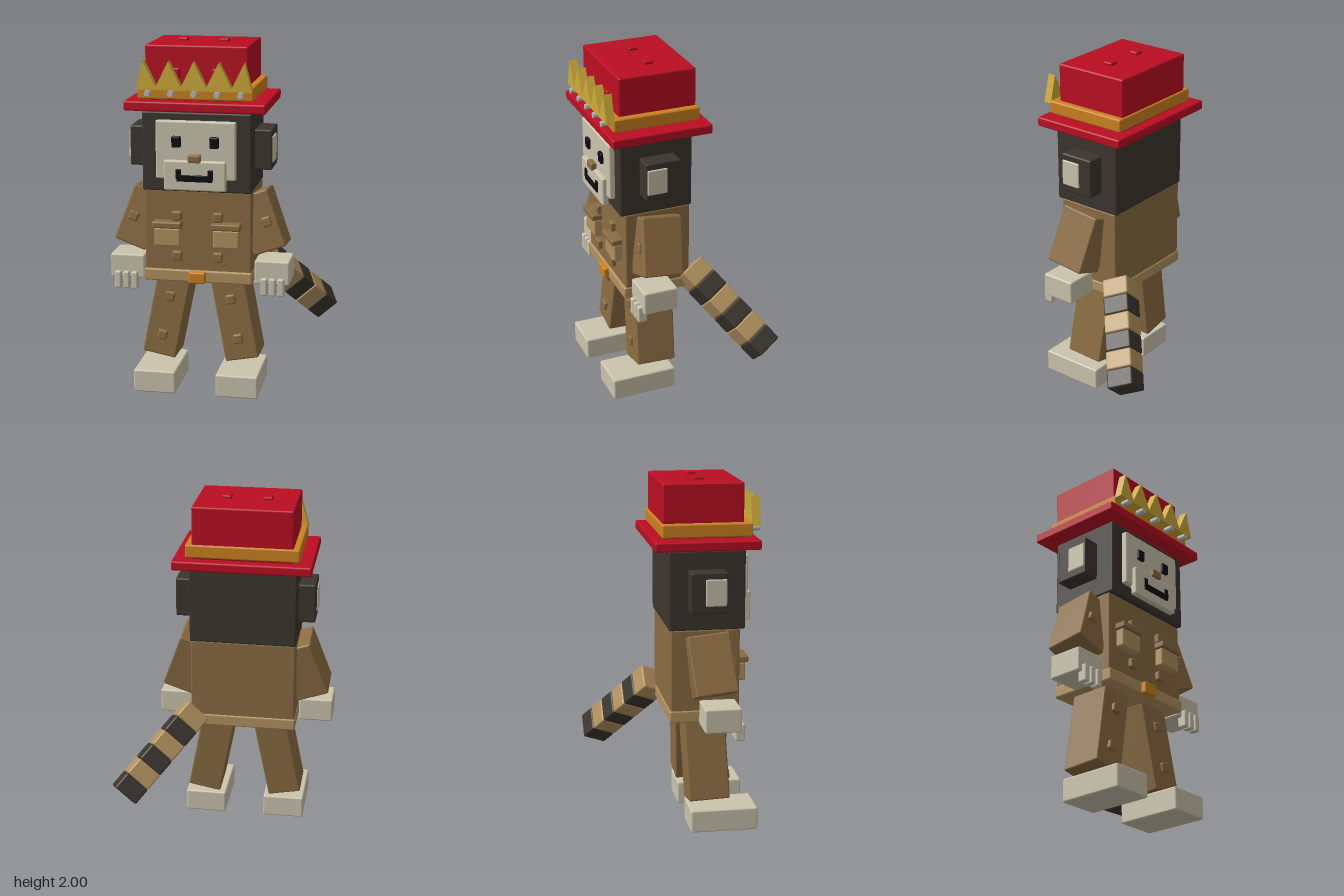
import * as THREE from 'three';
import { RoundedBoxGeometry } from 'three/addons/geometries/RoundedBoxGeometry.js';

const colours = {
  red: 0xbb0e22, brown: 0x8b6c42, tan: 0xb2925f, fur: 0x3b352e, cream: 0xcbc5ae,
  orange: 0xcc8220, gold: 0xcfab3a, black: 0x0c0c0e, silver: 0xb9bdba,
};
const CX = -0.11; // mirror plane of the body

export function createModel() {
  const model = new THREE.Group();
  const mats = {};
  for (const [name, color] of Object.entries(colours)) {
    mats[name] = new THREE.MeshStandardMaterial({ color });
    mats[name].name = name;
  }

  // Softly bevelled box of size w, h, d centred at x, y, z
  function block(name, mat, w, h, d, x, y, z, parent = model) {
    const r = Math.min(0.01, Math.min(w, h, d) * 0.25);
    const mesh = new THREE.Mesh(new RoundedBoxGeometry(w, h, d, 2, r), mats[mat]);
    mesh.name = name;
    mesh.position.set(x, y, z);
    parent.add(mesh);
    return mesh;
  }
  // Box given by half width around the mirror plane, y range and z range
  const mid = (name, mat, half, y0, y1, z0, z1) =>
    block(name, mat, half * 2, y1 - y0, z1 - z0, CX, (y0 + y1) / 2, (z0 + z1) / 2);
  const stud = (name, mat, x, y, z, parent) => block(name, mat, 0.056, 0.056, 0.04, x, y, z, parent);

  // Torso and belt
  mid('torso', 'brown', 0.304, 0.65, 1.175, -0.045, 0.345);
  mid('belt', 'tan', 0.309, 0.643, 0.713, -0.051, 0.358);
  mid('buckle', 'orange', 0.048, 0.643, 0.71, 0.34, 0.388);

  // Head and face
  mid('head', 'fur', 0.307, 1.172, 1.617, -0.055, 0.372);
  mid('facePlate', 'cream', 0.224, 1.248, 1.574, 0.36, 0.404);
  mid('muzzle', 'cream', 0.174, 1.19, 1.358, 0.39, 0.43);
  mid('nose', 'brown', 0.036, 1.35, 1.395, 0.41, 0.446);
  mid('mouth', 'black', 0.1, 1.243, 1.28, 0.425, 0.438);

  // Hat
  mid('hatBrim', 'red', 0.393, 1.628, 1.682, -0.143, 0.44);
  mid('hatNeck', 'red', 0.28, 1.6, 1.72, -0.07, 0.36);
  mid('hatBand', 'orange', 0.322, 1.69, 1.766, -0.095, 0.407);
  mid('hatCrown', 'red', 0.285, 1.68, 1.983, -0.085, 0.364);

  // Golden zigzag on the hat with a gem under each point
  const zigzag = new THREE.Shape();
  const pitch = 0.139;
  zigzag.moveTo(-0.32, 1.748);
  for (let i = 0; i < 5; i++) {
    const x = (i - 2) * pitch;
    zigzag.lineTo(x, 1.905);
    if (i < 4) zigzag.lineTo(x + pitch / 2, 1.765);
    const gem = new THREE.Mesh(new THREE.CylinderGeometry(0.017, 0.017, 0.055, 8), mats.silver);
    gem.name = 'gem';
    gem.rotation.x = Math.PI / 2;
    gem.position.set(CX + (i - 2) * 0.128, 1.73, 0.43);
    model.add(gem);
  }
  zigzag.lineTo(0.32, 1.748);
  zigzag.closePath();
  const spikes = new THREE.Mesh(
    new THREE.ExtrudeGeometry(zigzag, { depth: 0.048, bevelEnabled: false }), mats.gold);
  spikes.name = 'hatSpikes';
  spikes.position.set(CX, 0, 0.4);
  model.add(spikes);

  // Everything that comes in a left and right version
  for (const s of [1, -1]) {
    const side = s > 0 ? 'left' : 'right';
    const X = (x) => CX + s * x;

    block(side + 'Ear', 'fur', 0.13, 0.228, 0.206, X(0.339), 1.4, 0.153);
    block(side + 'InnerEar', 'cream', 0.03, 0.15, 0.118, X(0.397), 1.402, 0.19);
    block(side + 'Eye', 'black', 0.052, 0.064, 0.035, X(0.106), 1.46, 0.403);
    block(side + 'MouthCorner', 'black', 0.03, 0.055, 0.013, X(0.09), 1.284, 0.4315);

    // Studs on the hat and jacket, and the pockets
    block('hatTopStud', 'red', 0.056, 0.035, 0.056, X(0.116), 1.983, 0.133);
    stud('hatFrontStud', 'red', X(0.116), 1.834, 0.363);
    stud('upperJacketStud', 'brown', X(0.116), 1.027, 0.352);
    stud('lowerJacketStud', 'brown', X(0.116), 0.796, 0.352);
    block(side + 'Pocket', 'tan', 0.148, 0.105, 0.06, X(0.167), 0.91, 0.362);
    block(side + 'PocketFlap', 'brown', 0.165, 0.038, 0.075, X(0.167), 0.981, 0.37);

    // Arm
    const arm = new THREE.Group();
    arm.name = side + 'Arm';
    arm.position.set(X(0.346), 0.98, 0.173);
    arm.rotation.set(-0.11, 0, s * 0.35);
    block('sleeve', 'brown', 0.19, 0.338, 0.238, 0, 0, 0, arm);
    stud('sleeveStud', 'brown', s * 0.035, -0.005, 0.116, arm);
    model.add(arm);

    // Hand and fingers
    block(side + 'Hand', 'cream', 0.198, 0.138, 0.204, X(0.416), 0.708, 0.215);
    for (let i = 0; i < 3; i++) {
      block(side + 'Finger', 'cream', 0.037, 0.1, 0.056, X(0.469 - i * 0.048), 0.63, 0.315);
    }

    // Leg and foot
    const leg = new THREE.Group();
    leg.name = side + 'Leg';
    leg.position.set(X(0.193), 0.44, 0.165);
    leg.rotation.set(-0.04, 0, s * 0.19);
    block('trouser', 'brown', 0.195, 0.55, 0.235, 0, 0, 0, leg);
    stud('upperTrouserStud', 'brown', 0, 0.088, 0.116, leg);
    stud('lowerTrouserStud', 'brown', 0, -0.148, 0.116, leg);
    model.add(leg);
    block(side + 'Foot', 'cream', 0.242, 0.132, 0.386, X(0.237), 0.066, 0.258);
  }

  // Striped tail slanting down, back and to the left
  const axis = new THREE.Vector3(0.575, -0.64, -0.51).normalize();
  const u = new THREE.Vector3(-axis.y, axis.x, 0).normalize();
  const v = new THREE.Vector3().crossVectors(axis, u);
  const tail = new THREE.Group();
  tail.name = 'tail';
  tail.quaternion.setFromRotationMatrix(new THREE.Matrix4().makeBasis(u, v, axis));
  tail.position.set(0.535, 0.324, -0.387);
  const step = 0.109;
  for (let i = 0; i < 6; i++) {
    block('tailRing', i % 2 ? 'tan' : 'fur', 0.157, 0.157, step, 0, 0, -(i + 0.5) * step, tail);
  }
  model.add(tail);

  return model;
}
